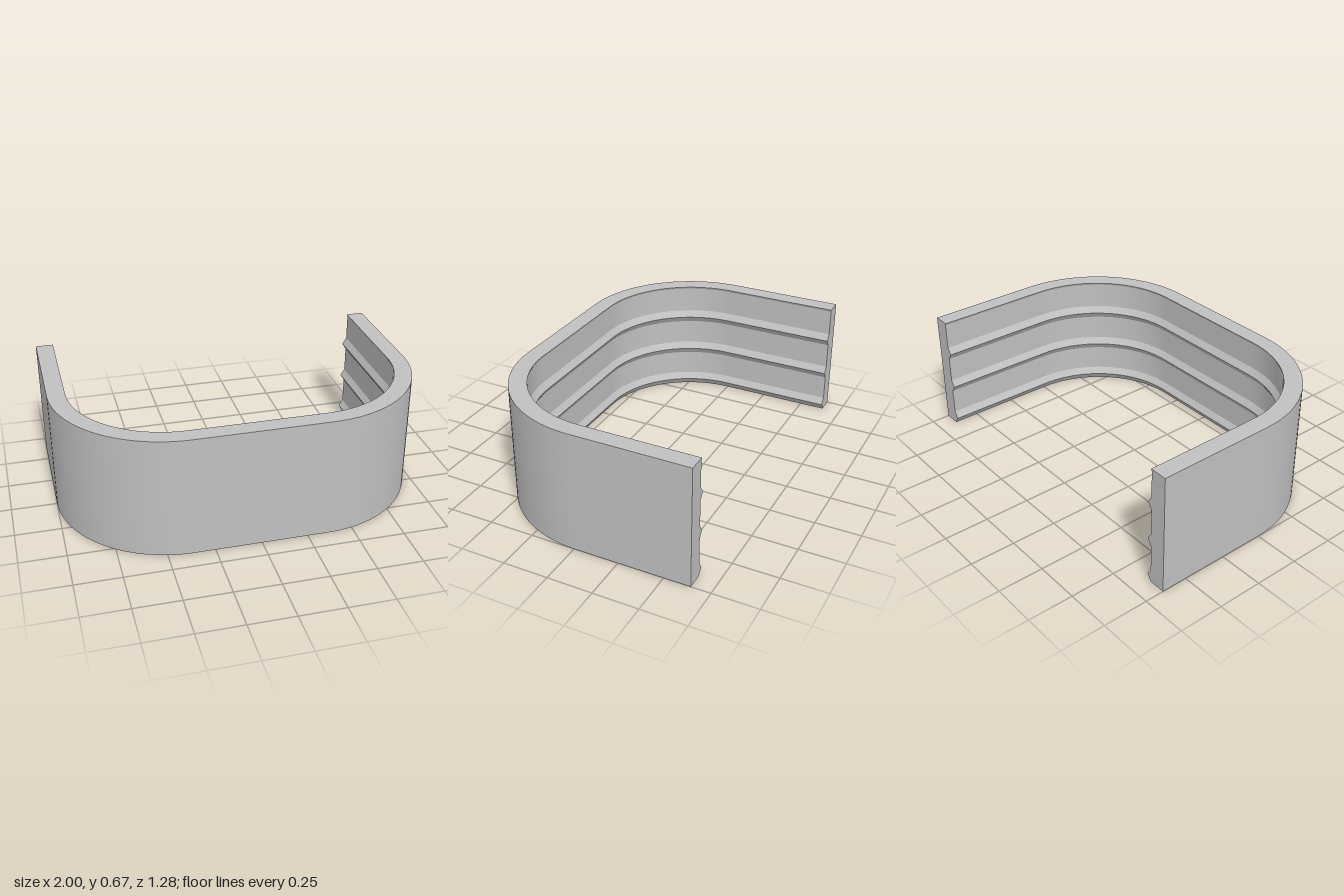
import * as THREE from 'three';

const HEIGHT = 0.67, RADIUS = 0.64, CORNER_X = 0.36, BACK_Z = -0.645;

// Band cross-section as [depth inwards from the outer face, height]
function bandProfile() {
  const wall = 0.092, tip = 0.116, half = 0.037;
  const points = [[0, 0], [0, HEIGHT], [0.097, HEIGHT], [wall, HEIGHT - 0.012]];
  for (const y of [0.475, 0.257, 0.039]) {
    points.push([wall, y + half], [tip, y], [wall, y - half]);
  }
  points.push([wall, 0]);
  return points;
}

// U-shaped path: each station has a corner centre, an outward direction and a z shift
function bandStations() {
  const stations = [{ cx: -CORNER_X, a: Math.PI, z: BACK_Z }];
  const steps = 28;
  for (let i = 0; i <= steps; i++) {
    stations.push({ cx: -CORNER_X, a: Math.PI - (i / steps) * Math.PI / 2, z: 0 });
  }
  for (let i = 0; i <= steps; i++) {
    stations.push({ cx: CORNER_X, a: Math.PI / 2 - (i / steps) * Math.PI / 2, z: 0 });
  }
  stations.push({ cx: CORNER_X, a: 0, z: BACK_Z });
  return stations;
}

// One strip per profile edge, so edges stay crisp while the bends are smooth
function sweepGeometry(profile, stations) {
  const positions = [], indices = [];
  profile.forEach((p, j) => {
    const q = profile[(j + 1) % profile.length];
    const base = positions.length / 3;
    stations.forEach((s, i) => {
      for (const [d, y] of [p, q]) {
        const r = RADIUS - d;
        positions.push(s.cx + r * Math.cos(s.a), y, s.z + r * Math.sin(s.a));
      }
      if (i > 0) {
        const b = base + 2 * i, a = b - 2;
        indices.push(a, b, a + 1, b, b + 1, a + 1);
      }
    });
  });
  const geometry = new THREE.BufferGeometry();
  geometry.setAttribute('position', new THREE.Float32BufferAttribute(positions, 3));
  geometry.setIndex(indices);
  geometry.computeVertexNormals();
  return geometry;
}

export function createModel() {
  const group = new THREE.Group();
  group.name = 'ribbedBand';
  const grey = new THREE.MeshStandardMaterial({ color: 0xc0c0c0 });
  grey.name = 'light grey';

  const profile = bandProfile();
  const band = new THREE.Mesh(sweepGeometry(profile, bandStations()), grey);
  band.name = 'band';
  group.add(band);

  // Flat end faces of the two arms
  for (const side of [-1, 1]) {
    const shape = new THREE.Shape(profile.map(([d, y]) => new THREE.Vector2(side * d, y)));
    const cap = new THREE.Mesh(new THREE.ShapeGeometry(shape), grey);
    cap.name = side > 0 ? 'leftArmEnd' : 'rightArmEnd';
    cap.rotation.y = Math.PI;
    cap.position.set(side * (CORNER_X + RADIUS), 0, BACK_Z);
    group.add(cap);
  }
  return group;
}
